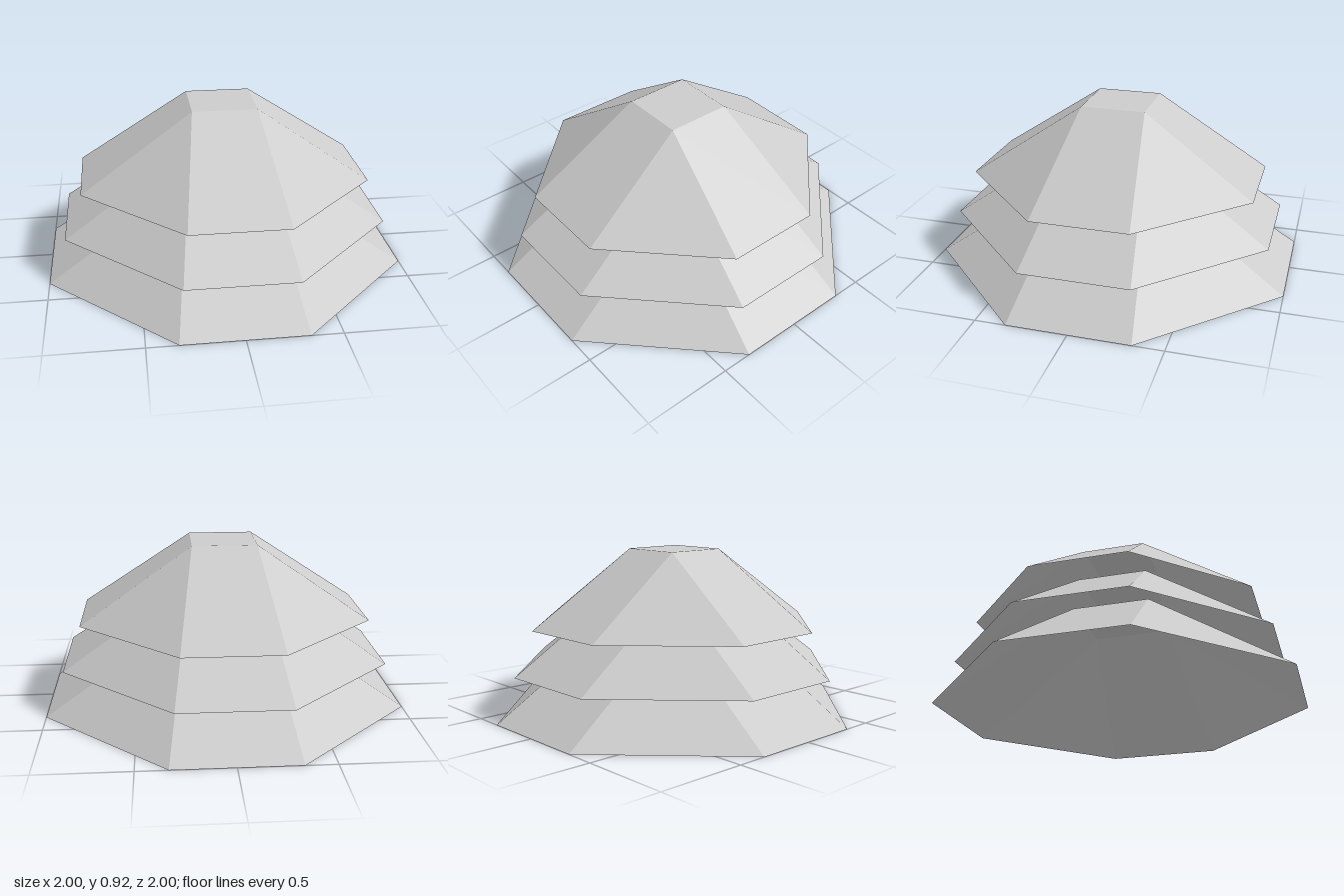
import * as THREE from 'three';

const grey = new THREE.MeshStandardMaterial({ color: 0xcccccc, side: THREE.DoubleSide });
grey.name = 'light grey';

// Hollow tier: eight-cornered open rim below, narrowing to a small closed square on top
function tierGeometry(rim, top, height) {
  const positions = [];
  const turn = (x, y, z, quarter) => {
    for (let i = 0; i < quarter; i++) [x, z] = [-z, x];
    return [x, y, z];
  };
  const face = (...corners) => corners.forEach((c) => positions.push(...c));

  for (let q = 0; q < 4; q++) {
    const a = turn(rim, 0, rim / 3, q);
    const b = turn(rim / 3, 0, rim, q);
    const nextA = turn(rim, 0, rim / 3, q + 1);
    const t = turn(top, height, top, q);
    const nextT = turn(top, height, top, q + 1);
    face(a, t, b); // diagonal triangle
    face(b, t, nextT); // straight side
    face(b, nextT, nextA);
    face([0, height, 0], nextT, t); // quarter of the flat top
  }

  const geometry = new THREE.BufferGeometry();
  geometry.setAttribute('position', new THREE.Float32BufferAttribute(positions, 3));
  geometry.computeVertexNormals(); // unshared corners keep the facets flat
  return geometry;
}

export function createModel() {
  const model = new THREE.Group();
  model.name = 'tieredCanopy';

  // Three overlapping tiers, each smaller than the one below
  const tiers = [
    { name: 'lowerTier', y: 0, rim: 1, top: 0.22, height: 0.53 },
    { name: 'middleTier', y: 0.25, rim: 0.9, top: 0.2, height: 0.475 },
    { name: 'upperTier', y: 0.5, rim: 0.8, top: 0.18, height: 0.42 },
  ];
  for (const { name, y, rim, top, height } of tiers) {
    const tier = new THREE.Mesh(tierGeometry(rim, top, height), grey);
    tier.name = name;
    tier.position.y = y;
    model.add(tier);
  }
  return model;
}
